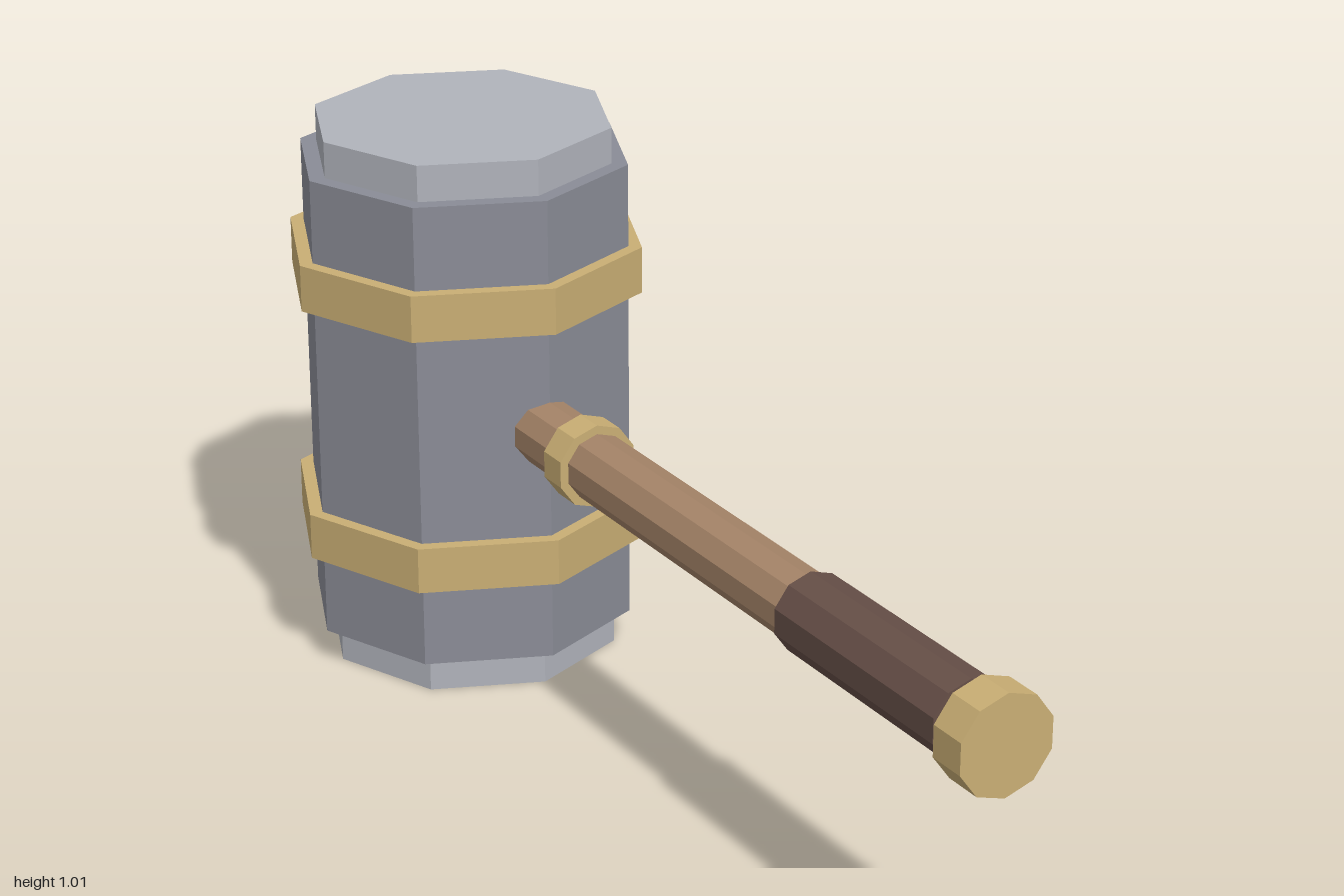
import * as THREE from 'three';

const HEAD_Z = -0.671;
const HANDLE_Y = 0.503;

const material = (color) => new THREE.MeshStandardMaterial({ color, flatShading: true });

export function createModel() {
  const group = new THREE.Group();
  const steel = material(0x8a8c96);
  const paleSteel = material(0xb0b3bb);
  const brass = material(0xc9ae74);
  const wood = material(0xa58468);
  const leather = material(0x664f47);

  const add = (name, geometry, mat) => {
    const mesh = new THREE.Mesh(geometry, mat);
    mesh.name = name;
    group.add(mesh);
    return mesh;
  };

  // Upright eight-sided piece of the head, from y0 to y1
  const headPart = (name, radius, y0, y1, mat) =>
    add(name, new THREE.CylinderGeometry(radius, radius, y1 - y0, 8), mat)
      .position.set(0, (y0 + y1) / 2, HEAD_Z);

  // Ten-sided piece lying along the handle, from z0 to z1
  const handlePart = (name, radius, z0, z1, mat) =>
    add(name, new THREE.CylinderGeometry(radius, radius, z1 - z0, 10).rotateX(Math.PI / 2), mat)
      .position.set(0, HANDLE_Y, (z0 + z1) / 2);

  // Head with stepped striking faces and two bands
  headPart('headBody', 0.304, 0.066, 0.94, steel);
  headPart('lowerStrikingFace', 0.274, 0, 0.066, paleSteel);
  headPart('upperStrikingFace', 0.274, 0.94, 1.006, paleSteel);
  headPart('lowerBand', 0.329, 0.22, 0.306, brass);
  headPart('upperBand', 0.329, 0.701, 0.787, brass);

  // Handle with collar, grip and pommel
  handlePart('handle', 0.061, -0.6, 0.94, wood);
  handlePart('collar', 0.077, -0.26, -0.203, brass);
  handlePart('grip', 0.071, 0.467, 0.905, leather);
  handlePart('pommel', 0.089, 0.93, 1, brass);

  return group;
}
